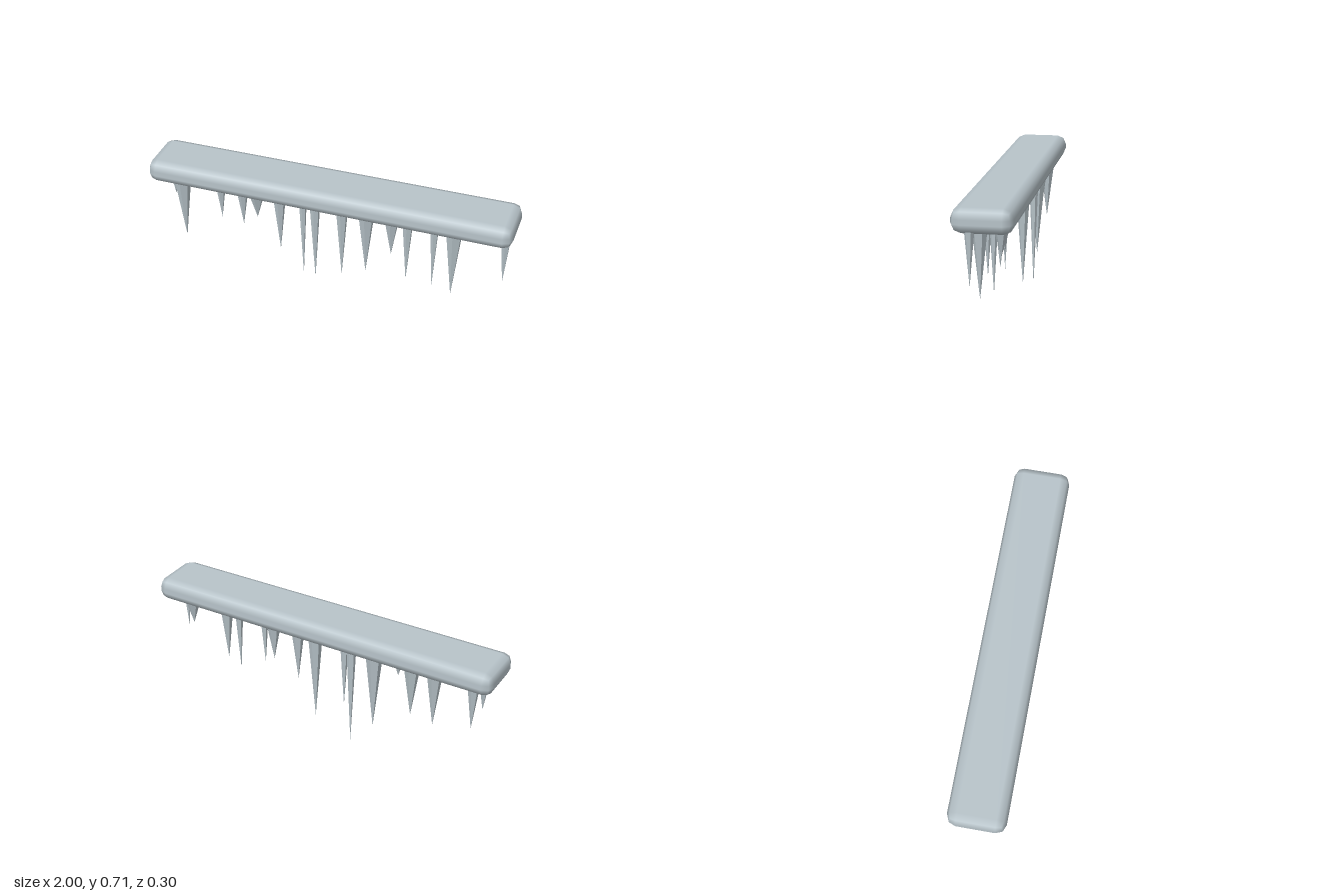
import * as THREE from 'three';
import { RoundedBoxGeometry } from 'three/addons/geometries/RoundedBoxGeometry.js';

const ice = new THREE.MeshStandardMaterial({ color: 0xb8c4ca });
ice.name = 'paleIce';

const SLAB_HEIGHT = 0.125;
const SLAB_TOP = 0.709;
const ICICLE_TOP = 0.6; // bases sit just inside the underside of the slab

// each icicle: x, z, height of the tip, radius
const ICICLES = [
  [-0.915, -0.015, 0.425, 0.028],
  [-0.825, 0.07, 0.22, 0.046],
  [-0.67, -0.076, 0.28, 0.042],
  [-0.53, -0.052, 0.28, 0.046],
  [-0.402, 0.05, 0.425, 0.05],
  [-0.32, -0.07, 0.145, 0.046],
  [-0.185, -0.07, 0, 0.026],
  [-0.065, 0.07, 0.11, 0.029],
  [0.047, -0.047, 0.07, 0.04],
  [0.213, 0.047, 0.205, 0.046],
  [0.34, 0.003, 0.32, 0.05],
  [0.444, 0.07, 0.225, 0.029],
  [0.574, 0.015, 0.175, 0.026],
  [0.69, 0.063, 0.18, 0.046],
  [0.823, -0.068, 0.445, 0.046],
  [0.957, 0.06, 0.325, 0.025],
];

// six-sided faceted cone pointing down, base at the origin
function icicleGeometry(radius, length) {
  const cone = new THREE.ConeGeometry(radius, length, 6, 1);
  cone.rotateX(Math.PI);
  cone.translate(0, -length / 2, 0);
  const faceted = cone.toNonIndexed();
  faceted.computeVertexNormals();
  return faceted;
}

export function createModel() {
  const model = new THREE.Group();
  model.name = 'icicleLedge';

  // rounded slab the icicles hang from
  const slab = new THREE.Mesh(new RoundedBoxGeometry(2, SLAB_HEIGHT, 0.3, 1, 0.05), ice);
  slab.name = 'slab';
  slab.position.y = SLAB_TOP - SLAB_HEIGHT / 2;
  model.add(slab);

  // hanging icicles
  const icicles = new THREE.Group();
  icicles.name = 'icicles';
  ICICLES.forEach(([x, z, tip, radius], i) => {
    const icicle = new THREE.Mesh(icicleGeometry(radius, ICICLE_TOP - tip), ice);
    icicle.name = `icicle${i + 1}`;
    icicle.position.set(x, ICICLE_TOP, z);
    icicles.add(icicle);
  });
  model.add(icicles);

  return model;
}
